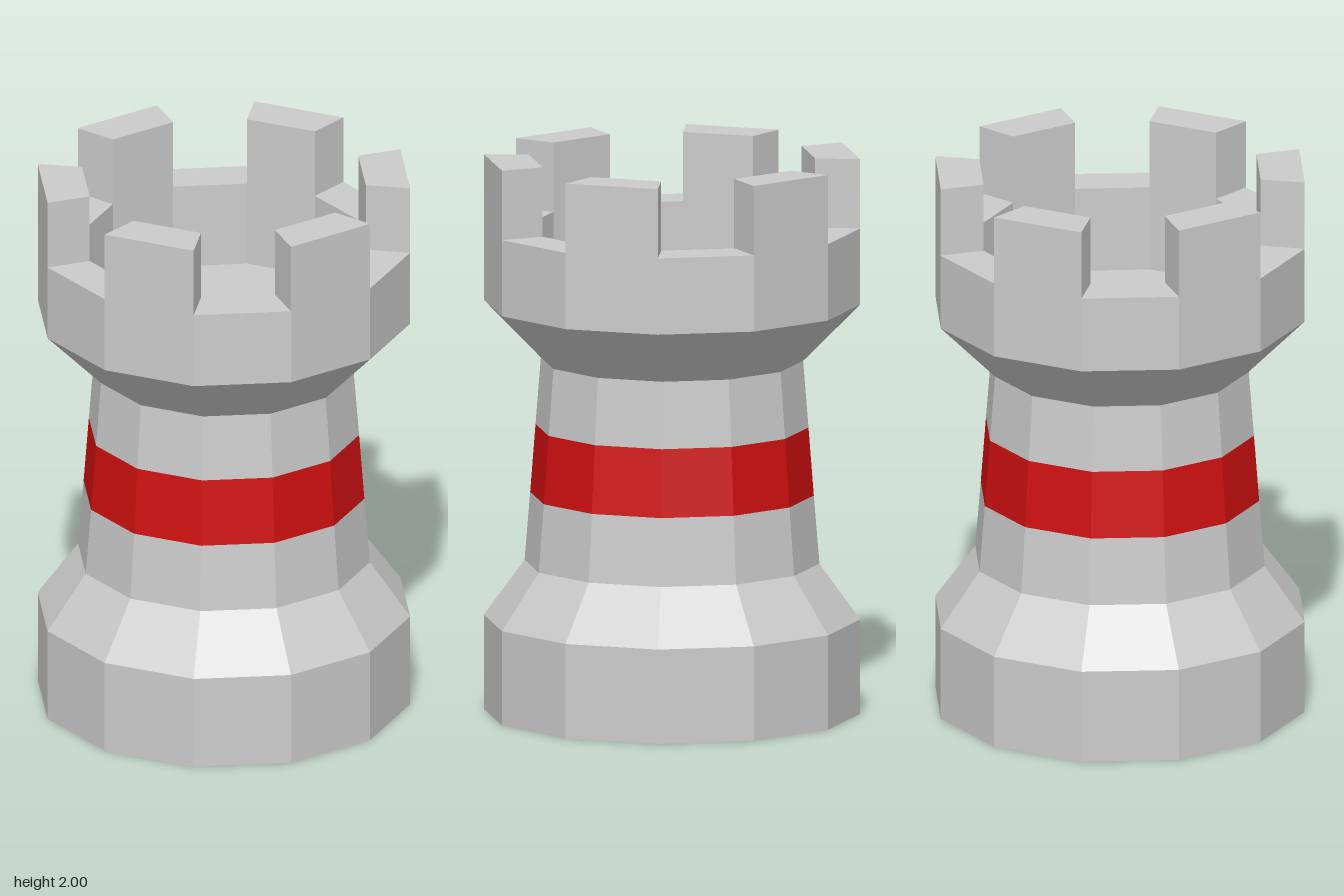
import * as THREE from 'three';

const SIDES = 12;
const OUTER = 0.67;
const INNER = 0.51;
const RIM = 1.75;
const TOP = 2;

const grey = new THREE.MeshStandardMaterial({ color: 0xcccccc, flatShading: true });
const red = new THREE.MeshStandardMaterial({ color: 0xd01010, flatShading: true });

// Twelve-sided turned part from [radius, height] pairs, listed from the bottom up
function turned(name, profile, material) {
  const points = profile.map(([r, y]) => new THREE.Vector2(r, y));
  const mesh = new THREE.Mesh(new THREE.LatheGeometry(points, SIDES), material);
  mesh.name = name;
  return mesh;
}

// Upright block filling one side of the parapet ring
function merlonGeometry() {
  const step = (Math.PI * 2) / SIDES;
  const at = (r, a) => new THREE.Vector2(r * Math.cos(a), r * Math.sin(a));
  const shape = new THREE.Shape([at(INNER, 0), at(OUTER, 0), at(OUTER, step), at(INNER, step)]);
  const geometry = new THREE.ExtrudeGeometry(shape, { depth: TOP - RIM, bevelEnabled: false });
  return geometry.rotateX(-Math.PI / 2).translate(0, RIM, 0);
}

export function createModel() {
  const tower = new THREE.Group();
  tower.name = 'rookTower';

  // Closed foot, sloped shoulder and tapered shaft with its painted band
  tower.add(
    turned('base', [[0, 0], [OUTER, 0], [OUTER, 0.34], [0.525, 0.54]], grey),
    turned('lowerShaft', [[0.525, 0.54], [0.505, 0.785]], grey),
    turned('band', [[0.505, 0.785], [0.486, 1.03]], red),
    turned('upperShaft', [[0.486, 1.03], [0.467, 1.27]], grey)
  );

  // Flared crown with a hollow top and a sunken floor
  tower.add(turned('crown', [
    [0.467, 1.27], [OUTER, 1.475], [OUTER, RIM], [INNER, RIM], [INNER, 1.44], [0, 1.44]
  ], grey));

  // Merlons on every second side
  const battlements = new THREE.Group();
  battlements.name = 'battlements';
  const geometry = merlonGeometry();
  for (let i = 0; i < SIDES / 2; i++) {
    const merlon = new THREE.Mesh(geometry, grey);
    merlon.name = `merlon${i + 1}`;
    merlon.rotation.y = (i * Math.PI * 4) / SIDES;
    battlements.add(merlon);
  }
  tower.add(battlements);

  return tower;
}
